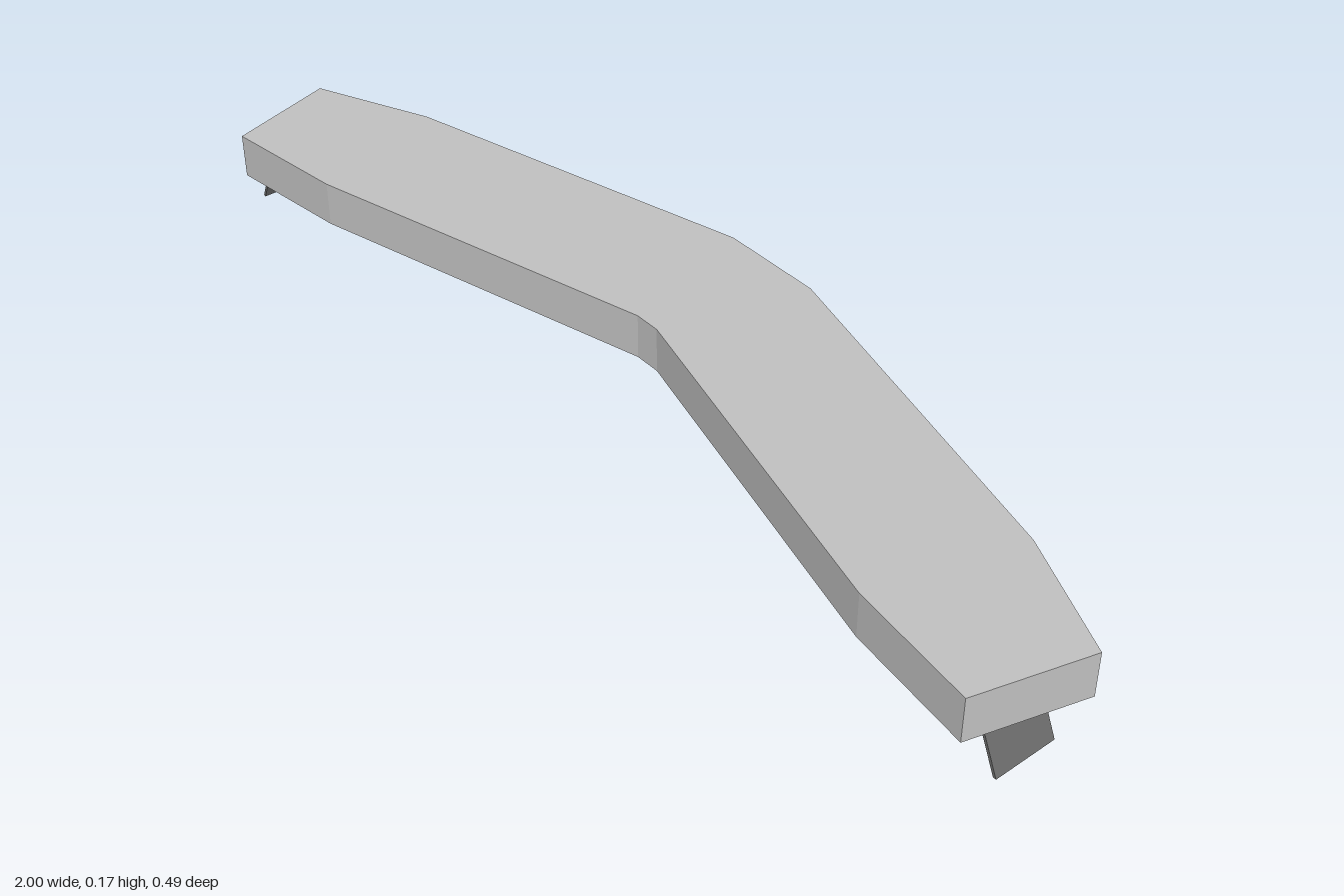
import * as THREE from 'three';

export function createModel() {
  const model = new THREE.Group();
  model.name = 'sweptWing';

  const lightGrey = new THREE.MeshStandardMaterial({ color: 0xc0c0c0 });
  lightGrey.name = 'light grey';
  const darkGrey = new THREE.MeshStandardMaterial({ color: 0x6a6a6a });
  darkGrey.name = 'dark grey';

  // Extrude a flat outline and keep every facet flat
  const slab = (points, depth) => new THREE.ExtrudeGeometry(
    new THREE.Shape(points.map(([x, y]) => new THREE.Vector2(x, y))),
    { depth, bevelEnabled: false });

  // Wing: half outline in plan as x, z, mirrored across the middle
  const half = [
    [0.1, -0.244], [0.78, -0.064], [1, 0.035],
    [0.942, 0.244], [0.7, 0.212], [0.025, 0.032],
  ];
  const outline = [...half, ...half.map(([x, z]) => [-x, z]).reverse()];
  const wing = new THREE.Mesh(slab(outline, 0.086), lightGrey);
  wing.name = 'wing';
  wing.rotation.x = Math.PI / 2; // outline y becomes z, depth runs down
  wing.position.y = 0.166;
  model.add(wing);

  // Thin fins splayed outward under each tip
  for (const side of [1, -1]) {
    const section = [[0.932, 0.081], [0.968, 0], [0.974, 0], [0.938, 0.081]]
      .map(([x, y]) => [side * x, y]);
    const fin = new THREE.Mesh(slab(section, 0.12), darkGrey);
    fin.name = side > 0 ? 'leftFin' : 'rightFin';
    fin.position.z = 0.077;
    model.add(fin);
  }

  return model;
}
